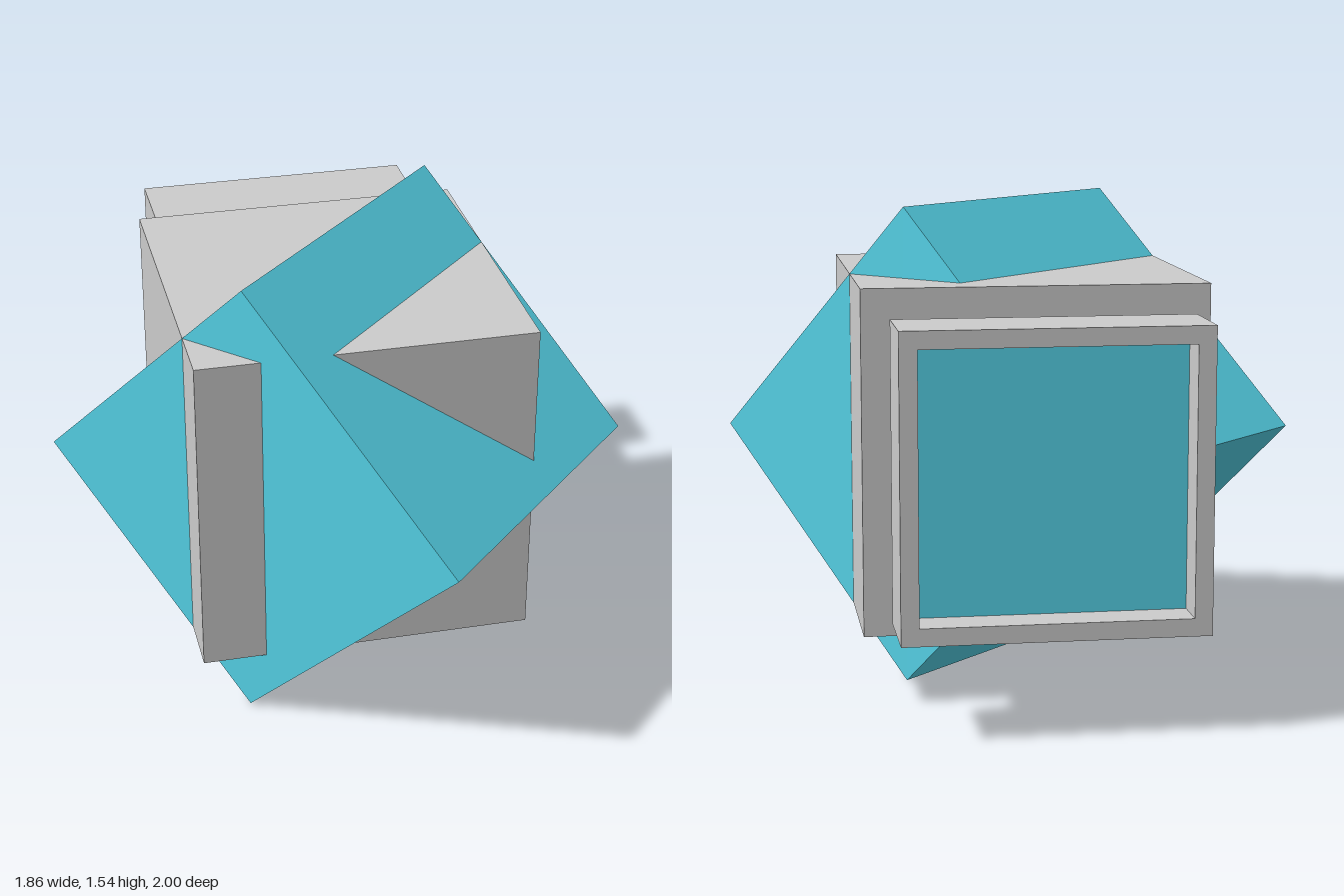
import * as THREE from 'three';

export function createModel() {
  const group = new THREE.Group();
  const grey = new THREE.MeshStandardMaterial({ color: 0xcccccc, flatShading: true });
  const teal = new THREE.MeshStandardMaterial({ color: 0x57d5ea, flatShading: true });
  const midY = 0.773;

  function add(name, geometry, material, z) {
    const mesh = new THREE.Mesh(geometry, material);
    mesh.name = name;
    mesh.position.set(0, midY, z);
    group.add(mesh);
    return mesh;
  }

  // box spanning z0..z1 with a square section
  const slab = (name, size, z0, z1, material) =>
    add(name, new THREE.BoxGeometry(size, size, z1 - z0), material, (z0 + z1) / 2);

  // upright cube
  slab('greyCube', 1.09, -0.587, 0.503, grey);

  // equal cube, rolled onto an edge and turned, passing through the first
  const tilted = add('tiltedCube', new THREE.BoxGeometry(1.09, 1.09, 1.09), teal, 0.07);
  tilted.rotation.set(Math.PI / 4, Math.PI / 4, 0, 'YXZ');

  // neck and end housing
  slab('neck', 0.79, -0.74, -0.58, teal);
  slab('housing', 0.936, -0.87, -0.73, grey);

  // open rim around the recessed panel
  const square = (path, h) => {
    path.moveTo(-h, -h);
    path.lineTo(h, -h);
    path.lineTo(h, h);
    path.lineTo(-h, h);
    path.closePath();
    return path;
  };
  const rimShape = square(new THREE.Shape(), 0.468);
  rimShape.holes.push(square(new THREE.Path(), 0.413));
  add('rim', new THREE.ExtrudeGeometry(rimShape, { depth: 0.13, bevelEnabled: false }), grey, -1);
  slab('recessedPanel', 0.826, -0.878, -0.86, teal);

  return group;
}
